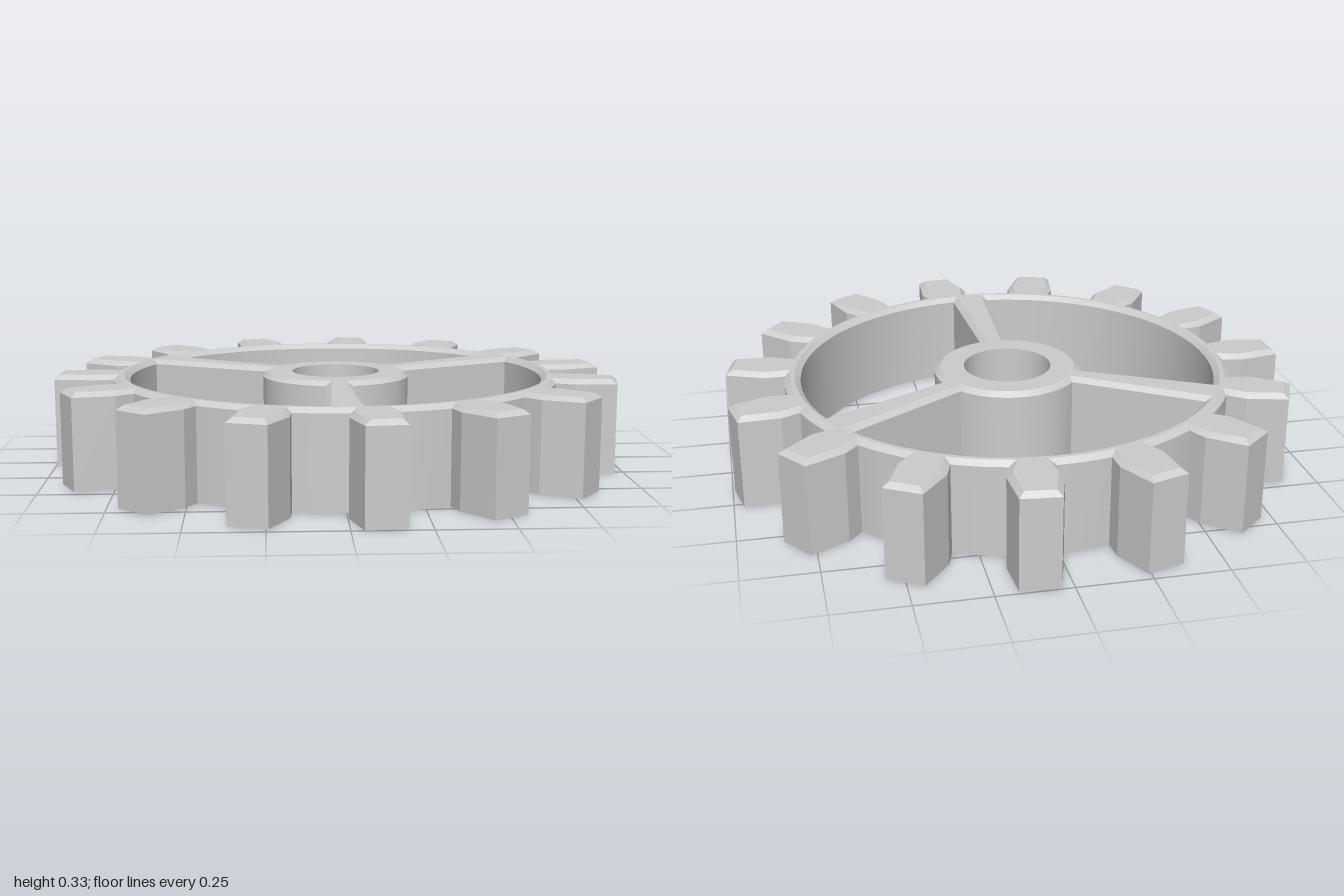
import * as THREE from 'three';
import { toCreasedNormals } from 'three/addons/utils/BufferGeometryUtils.js';

const HEIGHT = 0.33, CHAMFER = 0.02, CHAMFER_H = 0.016;
const TEETH = 15, ROOT_R = 0.79, RIM_R = 0.735, HUB_R = 0.26, BORE_R = 0.155;
const rad = THREE.MathUtils.degToRad;
const polar = (r, a) => new THREE.Vector2(r * Math.cos(a), r * Math.sin(a));

function arc(r, from, to, steps) {
  return Array.from({ length: steps + 1 }, (_, i) => polar(r, from + (to - from) * i / steps));
}

// Toothed outline, counter-clockwise; each tooth bulges at the middle of its flank
function toothOutline() {
  const flank = [[ROOT_R, 0.074], [0.86, 0.09], [1.0, 0.066]];
  const pts = [];
  for (let i = 0; i < TEETH; i++) {
    const a = rad(12 + i * 360 / TEETH);
    const ang = ([r, w]) => Math.asin(w / r);
    flank.forEach(p => pts.push(polar(p[0], a - ang(p))));
    [...flank].reverse().forEach(p => pts.push(polar(p[0], a + ang(p))));
    const root = ang(flank[0]);
    pts.push(...arc(ROOT_R, a + root, a + 2 * Math.PI / TEETH - root, 4).slice(1, -1));
  }
  return pts;
}

// Opening between two tapering spokes, clockwise
function windowOutline(k) {
  const a = rad(30 + 120 * k), b = a + rad(120);
  const rim = Math.asin(0.068 / RIM_R), hub = Math.asin(0.046 / HUB_R);
  return [...arc(RIM_R, b - rim, a + rim, 20), ...arc(HUB_R, a + hub, b - hub, 14)];
}

// Mitred offset towards the material, which lies left of the path
function inset(pts, d) {
  return pts.map((p, i) => {
    const q = pts[(i + pts.length - 1) % pts.length], s = pts[(i + 1) % pts.length];
    const u = p.clone().sub(q).normalize(), v = s.clone().sub(p).normalize();
    const n = new THREE.Vector2(-u.y - v.y, u.x + v.x).normalize();
    const cos = n.x * -u.y + n.y * u.x;
    return p.clone().addScaledVector(n, d / Math.max(cos, 0.4));
  });
}

function finish(positions, name, crease) {
  let geo = new THREE.BufferGeometry();
  geo.setAttribute('position', new THREE.Float32BufferAttribute(positions, 3));
  geo.rotateX(-Math.PI / 2);
  geo.translate(0.003, 0, 0);
  geo = toCreasedNormals(geo, crease);
  const mesh = new THREE.Mesh(geo, new THREE.MeshStandardMaterial({ color: 0xcccccc }));
  mesh.name = name;
  return mesh;
}

// Wall following stacked outlines, each level being { pts, h }
function wall(levels, name) {
  const pos = [];
  for (let l = 0; l + 1 < levels.length; l++) {
    const lo = levels[l], hi = levels[l + 1], n = lo.pts.length;
    for (let i = 0; i < n; i++) {
      const j = (i + 1) % n;
      const a = [lo.pts[i].x, lo.pts[i].y, lo.h], b = [lo.pts[j].x, lo.pts[j].y, lo.h];
      const c = [hi.pts[j].x, hi.pts[j].y, hi.h], d = [hi.pts[i].x, hi.pts[i].y, hi.h];
      pos.push(...a, ...b, ...c, ...a, ...c, ...d);
    }
  }
  return finish(pos, name, rad(20));
}

// Flat face with holes
function cap(outer, holes, h, up, name) {
  const all = [outer, ...holes].flat(), pos = [];
  for (const f of THREE.ShapeUtils.triangulateShape(outer, holes)) {
    const [a, b, c] = f.map(i => all[i]);
    const ccw = (b.x - a.x) * (c.y - a.y) - (b.y - a.y) * (c.x - a.x) > 0;
    for (const p of ccw === up ? [a, b, c] : [a, c, b]) pos.push(p.x, p.y, h);
  }
  return finish(pos, name, 0.1);
}

export function createModel() {
  const gear = new THREE.Group();
  gear.name = 'gear';
  const teeth = toothOutline();
  const windows = [0, 1, 2].map(windowOutline);
  const bore = arc(BORE_R, 2 * Math.PI, 0, 48).slice(0, -1);

  // Walls with a chamfer along the top edge only
  const chamfered = (pts, name) => wall([
    { pts, h: 0 }, { pts, h: HEIGHT - CHAMFER_H }, { pts: inset(pts, CHAMFER), h: HEIGHT },
  ], name);
  gear.add(chamfered(teeth, 'toothedEdge'));
  windows.forEach((w, i) => gear.add(chamfered(w, `spokeOpening${i + 1}`)));

  // Plain axle bore
  gear.add(wall([{ pts: bore, h: 0 }, { pts: bore, h: HEIGHT }], 'axleBore'));

  // Top and bottom faces of rim, spokes and hub
  gear.add(cap(inset(teeth, CHAMFER), [...windows.map(w => inset(w, CHAMFER)), bore], HEIGHT, true, 'topFace'));
  gear.add(cap(teeth, [...windows, bore], 0, false, 'bottomFace'));
  return gear;
}
